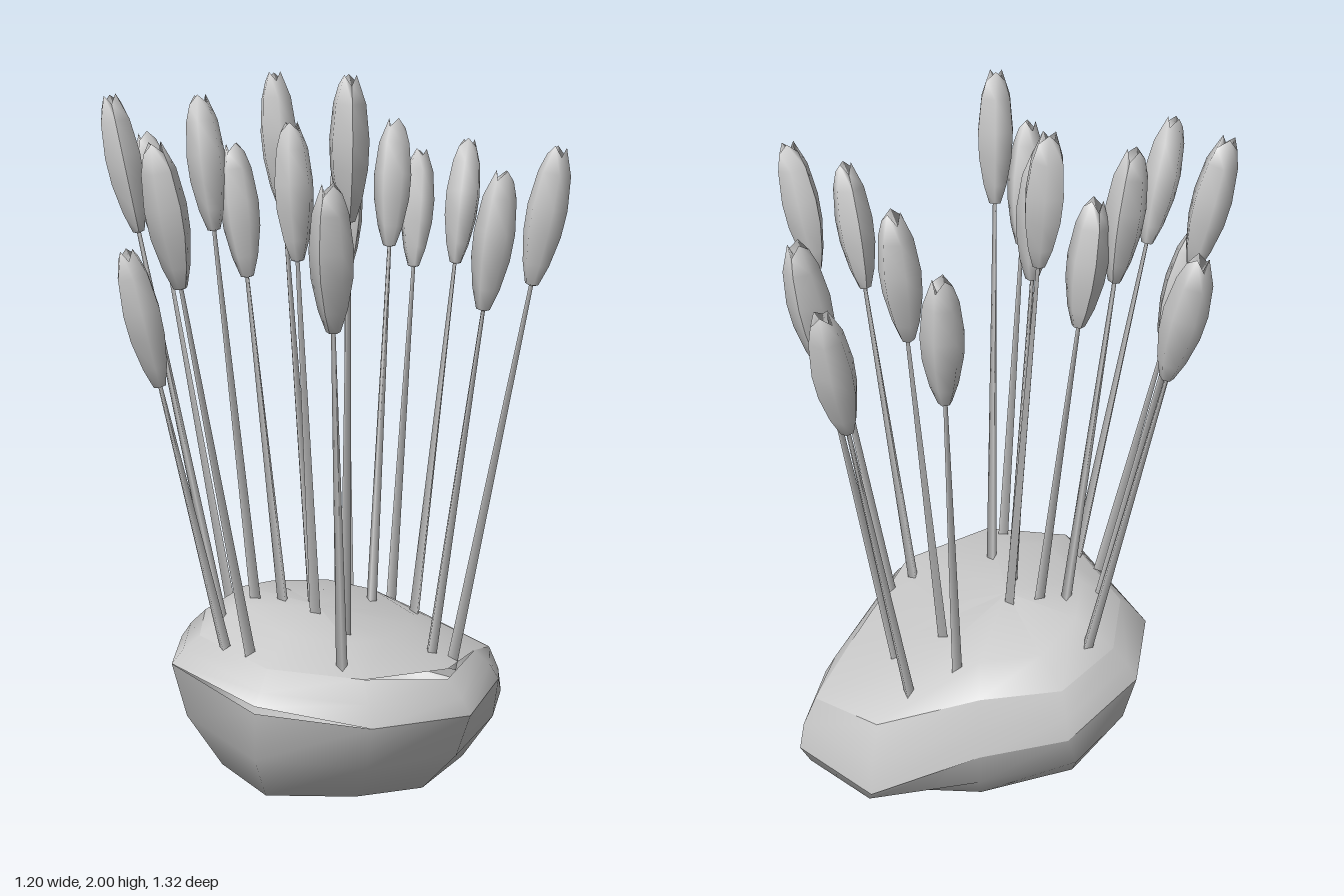
import * as THREE from 'three';

const material = new THREE.MeshStandardMaterial({ color: 0xcccccc, side: THREE.DoubleSide });

// Rock cross-sections, bottom to top; every ring runs back, right, front, left
const bottom = [[-.22, .04, -.25], [.05, .02, -.33], [.33, 0, -.3], [.45, .02, -.22], [.42, .01, -.03],
  [.25, .03, .22], [.04, .07, .34], [-.2, .07, .3], [-.3, .05, .03], [-.28, .04, -.14]];
const widest = [[-.2, .3, -.41], [.05, .25, -.43], [.36, .13, -.46], [.59, .12, -.26], [.53, .24, -.05],
  [.35, .3, .37], [.06, .33, .5], [-.24, .36, .43], [-.44, .37, .05], [-.4, .36, -.21]];
const shoulder = [[-.18, .44, -.36], [.05, .42, -.38], [.34, .35, -.41], [.54, .28, -.22], [.45, .34, -.03],
  [.3, .38, .3], [.05, .44, .43], [-.2, .46, .37], [-.36, .45, .05], [-.33, .45, -.18]];
const crown = [[-.12, .5, -.28], [.05, .49, -.3], [.18, .47, -.25], [.28, .43, -.12], [.25, .44, 0],
  [.15, .46, .18], [.03, .49, .28], [-.14, .51, .25], [-.24, .53, .03], [-.22, .53, -.14]];

// Bulging ring between two others
const between = (a, b, bulge) => a.map((p, i) => [
  (p[0] + b[i][0]) / 2 * bulge, (p[1] + b[i][1]) / 2, (p[2] + b[i][2]) / 2 * bulge]);

// Raise chosen corners to leave a narrow crack
const lift = (ring, corners, d) => ring.map((p, i) => corners.includes(i) ? [p[0], p[1] + d, p[2]] : p);

// Skin a stack of rings; a ring of one repeated point closes an end
function loft(name, rings) {
  const n = rings[0].length, index = [];
  for (let r = 0; r < rings.length - 1; r++) {
    for (let k = 0; k < n; k++) {
      const a = r * n + k, b = r * n + (k + 1) % n;
      index.push(a, a + n, b, b, a + n, b + n);
    }
  }
  const g = new THREE.BufferGeometry();
  g.setAttribute('position', new THREE.Float32BufferAttribute(rings.flat(2), 3));
  g.setIndex(index);
  g.computeVertexNormals();
  const mesh = new THREE.Mesh(g, material);
  mesh.name = name;
  return mesh;
}

// Six-sided bud with a ragged open tip; origin at its top
function budGeometry() {
  const profile = [[0, -.37], [.018, -.365], [.036, -.31], [.051, -.23], [.054, -.16],
    [.044, -.07], [.03, -.025], [.012, -.05], [0, -.07]].map(p => new THREE.Vector2(...p));
  const g = new THREE.LatheGeometry(profile, 6);
  const pos = g.attributes.position;
  for (let i = 0; i < pos.count; i++) {
    if (i % profile.length === 6 && Math.floor(i / profile.length) % 2) {
      pos.setXYZ(i, pos.getX(i) * .6, 0, pos.getZ(i) * .6);
    }
  }
  g.computeVertexNormals();
  return g;
}

// Tip of each bud, then foot of its stem
const stalks = [
  [[-.57, 1.94, 0], [-.29, .46, .03]],
  [[-.47, 1.83, .43], [-.23, .42, .25]],
  [[-.47, 1.83, -.46], [-.25, .46, -.2]],
  [[-.54, 1.56, .29], [-.3, .46, .19]],
  [[-.33, 1.94, -.08], [-.19, .48, -.04]],
  [[-.24, 1.81, -.09], [-.11, .48, -.03]],
  [[-.12, 2, -.13], [-.03, .48, -.04]],
  [[-.1, 1.87, .09], [-.03, .48, .06]],
  [[-.07, 1.74, .63], [0, .42, .37]],
  [[.02, 1.99, .34], [.03, .46, .2]],
  [[.13, 1.79, -.5], [.12, .42, -.29]],
  [[.25, 1.87, -.31], [.16, .45, -.15]],
  [[.39, 1.77, -.64], [.25, .37, -.33]],
  [[.48, 1.81, -.36], [.3, .41, -.18]],
  [[.43, 1.75, .28], [.27, .39, .19]],
  [[.58, 1.81, .27], [.34, .36, .16]],
];

export function createModel() {
  const model = new THREE.Group();
  model.name = 'pottedBuds';

  // Cracked rock made of three shells
  const rock = new THREE.Group();
  rock.name = 'rock';
  rock.add(
    loft('rockBowl', [bottom.map(() => [.05, .03, -.02]), bottom, between(bottom, widest, 1.08), widest]),
    loft('rockShoulder', [lift(widest, [7], .02), between(widest, shoulder, 1.02), shoulder]),
    loft('rockCrown', [lift(shoulder, [5], .03), crown, crown.map(() => [-.02, .51, 0])]));
  model.add(rock);

  // Tapered stems with a bud on each
  const bud = budGeometry();
  const up = new THREE.Vector3(0, 1, 0);
  stalks.forEach(([tip, foot], i) => {
    const top = new THREE.Vector3(...tip), base = new THREE.Vector3(...foot);
    const length = top.distanceTo(base) - .33;
    const stalk = new THREE.Group();
    stalk.name = `stalk${i + 1}`;
    stalk.position.copy(top);
    stalk.quaternion.setFromUnitVectors(up, top.clone().sub(base).normalize());

    const stem = new THREE.Mesh(new THREE.CylinderGeometry(.006, .018, length, 3), material);
    stem.name = 'stem';
    stem.position.y = -.33 - length / 2;
    stem.rotation.y = i * 1.3;

    const head = new THREE.Mesh(bud, material);
    head.name = 'bud';
    head.rotation.y = i * .7;
    stalk.add(stem, head);
    model.add(stalk);
  });
  return model;
}
